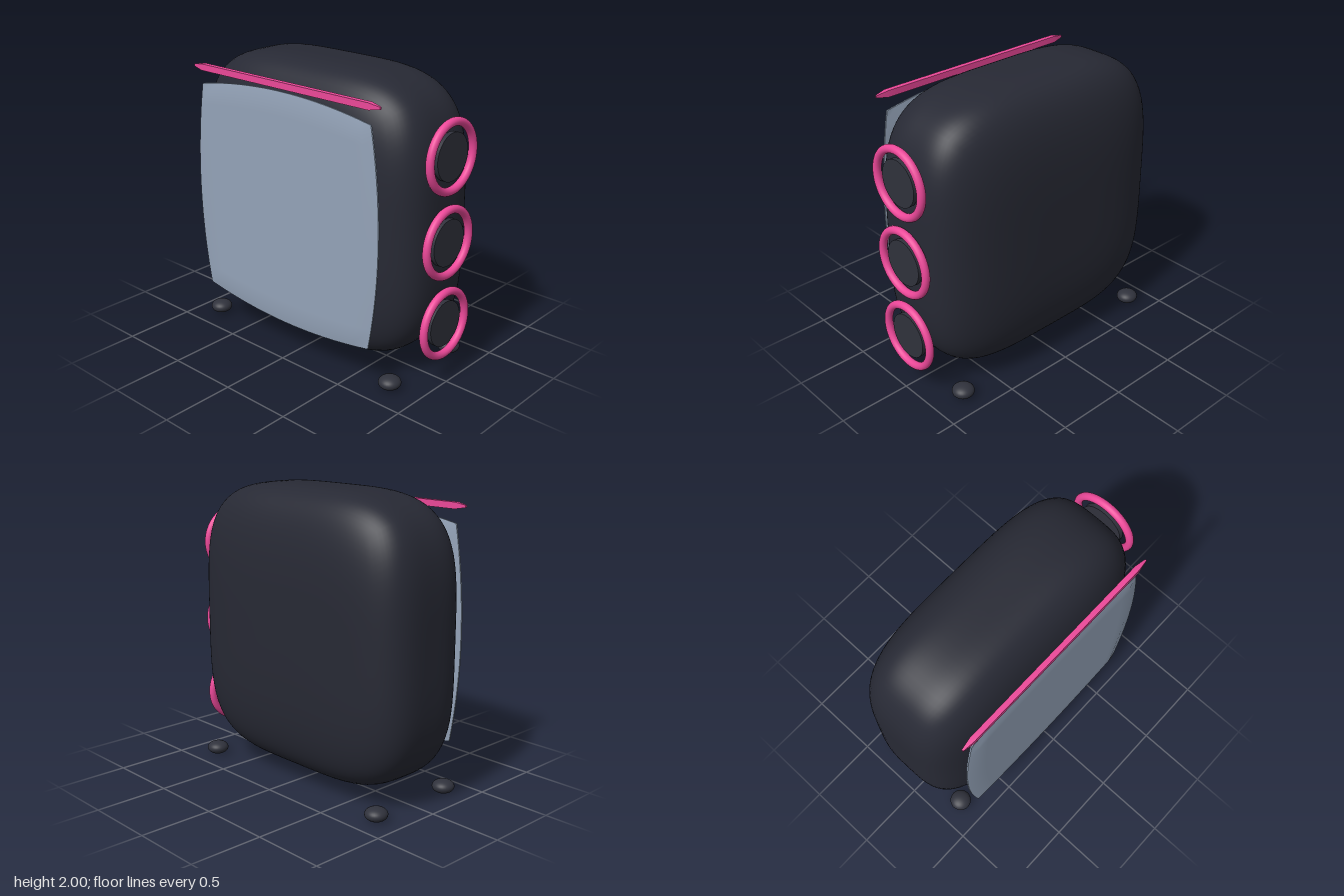
import * as THREE from 'three';
import { mergeVertices, toCreasedNormals } from 'three/addons/utils/BufferGeometryUtils.js';

const paint = (color) => new THREE.MeshStandardMaterial({ color });
const dark = paint(0x272934);
const charcoal = paint(0x30323c);
const pink = paint(0xec4899);
const slate = paint(0x94a3b8);

// Subdivided cube (-1..1) whose vertices are moved by a rule
function shapedCube(sx, sy, sz, rule) {
  const geo = new THREE.BoxGeometry(2, 2, 2, sx, sy, sz);
  const pos = geo.attributes.position;
  const v = new THREE.Vector3();
  for (let i = 0; i < pos.count; i++) {
    v.fromBufferAttribute(pos, i);
    rule(v);
    pos.setXYZ(i, v.x, v.y, v.z);
  }
  return geo;
}

function smooth(geo) {
  geo.deleteAttribute('uv');
  geo.deleteAttribute('normal');
  const merged = mergeVertices(geo, 1e-5);
  merged.computeVertexNormals();
  return merged;
}

// Thickness factor that narrows towards a border (t = 1)
const taper = (t, end) => Math.min(1, end + (1 - end) * (1 - t) / 0.1);

export function createModel() {
  const model = new THREE.Group();
  model.name = 'computerCase';

  function add(name, geo, material, x, y, z) {
    const mesh = new THREE.Mesh(geo, material);
    mesh.name = name;
    mesh.position.set(x, y, z);
    model.add(mesh);
    return mesh;
  }

  // Pillowy case body
  const bodyGeo = smooth(shapedCube(28, 28, 28, (v) => {
    const side = Math.pow(v.y ** 4 + v.z ** 4, 0.25);
    const r = Math.pow(Math.abs(v.x) ** 3.6 + side ** 3.6, 1 / 3.6);
    v.multiplyScalar(1 / r).multiply(new THREE.Vector3(0.435, 0.957, 0.955));
  }));
  add('body', bodyGeo, dark, 0.015, 1.043, -0.025);

  // Thin side panel with bowed edges
  const panelGeo = shapedCube(2, 20, 20, (v) => {
    const { y, z } = v;
    v.x *= 0.0175 * taper(Math.max(Math.abs(y), Math.abs(z)), 0.3);
    v.y = 0.73 * y * (1 + 0.096 * (1 - z * z));
    v.z = 0.73 * z * (1 + 0.096 * (1 - y * y));
  });
  add('sidePanel', toCreasedNormals(panelGeo, 0.6), slate, -0.438, 1.04, -0.03);

  // Light strip above the panel, narrowing at both ends
  const stripGeo = shapedCube(2, 2, 20, (v) => {
    const k = taper(Math.abs(v.z), 0.35);
    v.set(v.x * 0.0175 * k, v.y * 0.022 * k, v.z * 0.8);
  });
  add('lightStrip', toCreasedNormals(stripGeo, 0.6), pink, -0.441, 1.883, -0.03);

  // Three front fans: ring and hub
  const ringGeo = new THREE.TorusGeometry(0.218, 0.0275, 16, 64);
  const hubGeo = new THREE.CylinderGeometry(0.155, 0.155, 0.03, 48).rotateX(Math.PI / 2);
  for (const y of [0.405, 0.965, 1.525]) {
    add('fanRing', ringGeo, pink, 0.01, y, 0.957);
    add('fanHub', hubGeo, charcoal, 0.01, y, 0.95);
  }

  // Four flattened feet
  const footGeo = new THREE.SphereGeometry(1, 32, 20).scale(0.075, 0.046, 0.075);
  for (const x of [-0.31, 0.33]) {
    for (const z of [-0.822, 0.778]) add('foot', footGeo, charcoal, x, 0.046, z);
  }
  return model;
}
